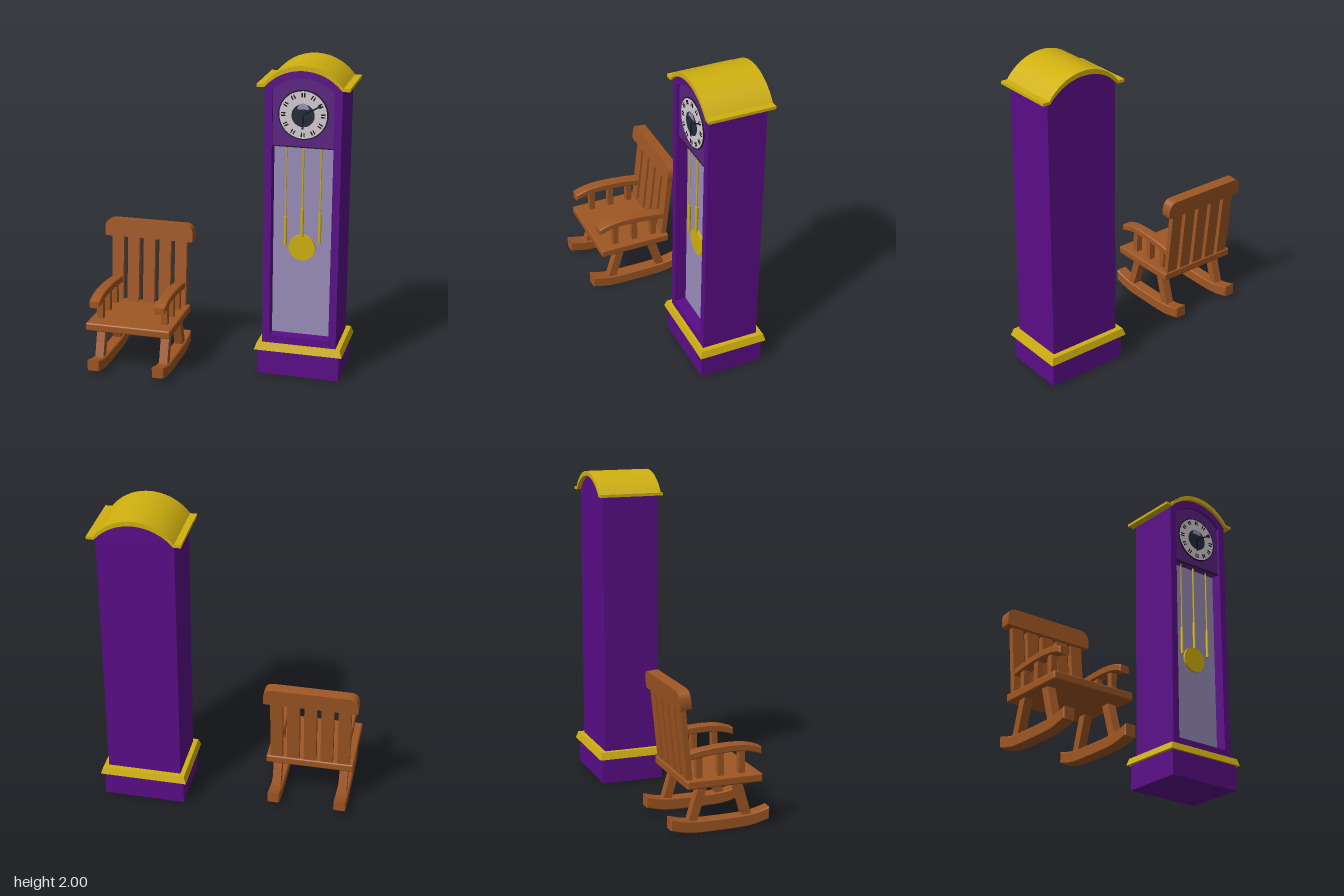
import * as THREE from 'three';
import { toCreasedNormals } from 'three/addons/utils/BufferGeometryUtils.js';
import { RoundedBoxGeometry } from 'three/addons/geometries/RoundedBoxGeometry.js';

const material = (name, color) => {
  const m = new THREE.MeshStandardMaterial({ color });
  m.name = name;
  return m;
};

// Outline with a flat bottom and a shallow arched top
function archShape(half, bottom, shoulder, peak) {
  const h = peak - shoulder, r = (half * half + h * h) / (2 * h), a = Math.asin(half / r);
  const s = new THREE.Shape();
  s.moveTo(-half, bottom);
  s.lineTo(half, bottom);
  s.lineTo(half, shoulder);
  s.absarc(0, peak - r, r, Math.PI / 2 - a, Math.PI / 2 + a, false);
  s.closePath();
  return s;
}

// Extrude a front outline between two z positions
function slab(shape, z0, z1) {
  const g = new THREE.ExtrudeGeometry(shape, { depth: z1 - z0, bevelEnabled: false, curveSegments: 24 });
  g.translate(0, 0, z0);
  return toCreasedNormals(g, 0.5);
}

// Extrude a side outline (z, y) to a width centred on x = 0
function sideSlab(shape, width) {
  const b = 0.006;
  const g = new THREE.ExtrudeGeometry(shape, {
    depth: width - 2 * b, bevelSize: b, bevelThickness: b, bevelOffset: -b, bevelSegments: 1, curveSegments: 12,
  });
  g.translate(0, 0, -width / 2 + b);
  g.rotateY(-Math.PI / 2);
  return toCreasedNormals(g, 0.5);
}

// Curved bar: smooth upper and lower edges from centre-line points
function barShape(points, thickness) {
  const curve = new THREE.SplineCurve(points.map(p => new THREE.Vector2(...p)));
  const line = curve.getPoints(20), t = thickness / 2;
  const upper = line.map(p => new THREE.Vector2(p.x, p.y + t));
  const lower = line.map(p => new THREE.Vector2(p.x, p.y - t));
  return new THREE.Shape([...lower, ...upper.reverse()]);
}

export function createModel() {
  const purple = material('purple paint', 0x5a0d88);
  const panelPurple = material('dial panel purple', 0x5c2282);
  const gold = material('gold', 0xd0b00f);
  const wood = material('brown wood', 0x9f5623);
  const glass = material('pale lavender glass', 0x9a8eba);
  const white = material('dial white', 0xd6ccd2);
  const black = material('black', 0x18161c);
  const slate = material('dark slate', 0x202c38);

  const model = new THREE.Group();
  const clock = new THREE.Group();
  clock.name = 'longcaseClock';
  clock.position.x = 0.525;
  const chair = new THREE.Group();
  chair.name = 'rockingChair';
  chair.position.x = -0.515;
  model.add(clock, chair);

  const add = (parent, name, geometry, mat, x = 0, y = 0, z = 0) => {
    const m = new THREE.Mesh(geometry, mat);
    m.name = name;
    m.position.set(x, y, z);
    parent.add(m);
    return m;
  };
  const box = (w, h, d) => new THREE.BoxGeometry(w, h, d);
  const disc = (r, t, n = 40) => new THREE.CylinderGeometry(r, r, t, n).rotateX(Math.PI / 2);

  // Clock case: solid back and an open front frame
  add(clock, 'caseBack', slab(archShape(0.235, 0.2, 1.86, 1.97), -0.32, -0.04), purple);
  const frame = archShape(0.235, 0.2, 1.86, 1.97);
  frame.holes.push(new THREE.Path(archShape(0.188, 0.265, 1.84, 1.92).getPoints(24).reverse()));
  add(clock, 'caseFrontFrame', slab(frame, -0.04, 0.04), purple);
  add(clock, 'plinth', box(0.52, 0.17, 0.405), purple, 0, 0.093, -0.1425);
  add(clock, 'windowGlass', box(0.376, 1.235, 0.006), glass, 0, 0.8825, -0.037);
  add(clock, 'dialPanel', slab(archShape(0.188, 1.497, 1.84, 1.92), -0.04, 0.022), panelPurple);
  add(clock, 'panelEdge', box(0.376, 0.006, 0.004), black, 0, 1.498, 0.022);

  // Moulding above the plinth, narrowing upward
  const moulding = box(0.56, 0.045, 0.44);
  const mp = moulding.attributes.position;
  for (let i = 0; i < mp.count; i++) {
    if (mp.getY(i) > 0) {
      mp.setX(i, mp.getX(i) - Math.sign(mp.getX(i)) * 0.015);
      mp.setZ(i, mp.getZ(i) - Math.sign(mp.getZ(i)) * 0.012);
    }
  }
  moulding.computeVertexNormals();
  add(clock, 'plinthMoulding', moulding, gold, 0, 0.193, -0.146);

  // Arched roof with flat eaves
  const arc = (half, shoulder, peak) => {
    const h = peak - shoulder, r = (half * half + h * h) / (2 * h), a = Math.asin(half / r);
    return Array.from({ length: 25 }, (_, i) => {
      const t = -a + (2 * a * i) / 24;
      return new THREE.Vector2(r * Math.sin(t), peak - r + r * Math.cos(t));
    });
  };
  const roof = new THREE.Shape([
    new THREE.Vector2(-0.282, 1.86), ...arc(0.235, 1.86, 1.97), new THREE.Vector2(0.282, 1.86),
    new THREE.Vector2(0.282, 1.878), ...arc(0.24, 1.878, 2.0).reverse(), new THREE.Vector2(-0.282, 1.878),
  ]);
  add(clock, 'roof', slab(roof, -0.348, 0.06), gold);

  // Dial, with hour marks and hands
  const dial = new THREE.Group();
  dial.name = 'dial';
  dial.position.set(-0.002, 1.698, 0.022);
  clock.add(dial);
  add(dial, 'dialRim', disc(0.152, 0.006), black, 0, 0, 0.003);
  add(dial, 'dialFace', disc(0.145, 0.008), white, 0, 0, 0.004);
  add(dial, 'dialCentre', disc(0.07, 0.004), slate, 0, -0.003, 0.009);
  add(dial, 'dialMoon', new THREE.CircleGeometry(0.036, 20, 0, Math.PI), glass, 0, 0.035, 0.0118);
  for (let i = 0; i < 12; i++) {
    const a = (i * Math.PI) / 6;
    for (const s of [-0.008, 0.008]) {
      const mark = add(dial, 'hourMark', box(0.007, 0.026, 0.003), black,
        0.121 * Math.sin(a) + s * Math.cos(a), 0.121 * Math.cos(a) - s * Math.sin(a), 0.009);
      mark.rotation.z = -a;
    }
  }
  const hand = (name, length, width, angle) => {
    const m = add(dial, name, box(width, length, 0.003).translate(0, length / 2, 0), black, 0, 0, 0.013);
    m.rotation.z = -angle;
  };
  hand('minuteHand', 0.125, 0.008, 1.05);
  hand('hourHand', 0.085, 0.011, Math.PI);

  // Pendulum and two hanging weights
  const hanger = (name, x, low, high, rodRadius) => {
    add(clock, name + 'Rod', new THREE.CylinderGeometry(rodRadius, rodRadius, 1.5 - high, 8), gold, x, (1.5 + high) / 2, -0.012);
    add(clock, name, new THREE.CylinderGeometry(0.01, 0.01, high - low, 12), gold, x, (low + high) / 2, -0.012);
  };
  hanger('leftWeight', 0.107, 0.89, 1.08, 0.005);
  hanger('rightWeight', -0.107, 0.86, 1.045, 0.004);
  hanger('pendulumShaft', -0.003, 0.92, 1.105, 0.006);
  add(clock, 'pendulumBob', disc(0.083, 0.014), gold, -0.003, 0.847, -0.02);

  // Chair seat
  add(chair, 'seat', new RoundedBoxGeometry(0.555, 0.052, 0.475, 2, 0.01), wood, 0, 0.305, 0.0675);

  // Reclined back: slats and a top rail with rounded corners
  const lean = Math.atan2(0.045, 0.43);
  for (let i = -2; i <= 2; i++) {
    const slat = add(chair, 'backSlat', box(0.078, 0.47, 0.035), wood, i * 0.1065, 0.55, -0.168);
    slat.rotation.x = -lean;
  }
  const rail = new THREE.Shape();
  rail.moveTo(-0.28, -0.057);
  rail.lineTo(0.28, -0.057);
  rail.quadraticCurveTo(0.295, -0.057, 0.295, -0.042);
  rail.lineTo(0.295, 0);
  rail.quadraticCurveTo(0.29, 0.057, 0.235, 0.057);
  rail.lineTo(-0.235, 0.057);
  rail.quadraticCurveTo(-0.29, 0.057, -0.295, 0);
  rail.lineTo(-0.295, -0.042);
  rail.quadraticCurveTo(-0.295, -0.057, -0.28, -0.057);
  const topRail = add(chair, 'topRail', slab(rail, -0.034, 0.034), wood, 0, 0.818, -0.19);
  topRail.rotation.x = -lean;

  // Each side: rocker, two splayed legs, arm posts and armrest
  const rocker = sideSlab(barShape([[-0.26, 0.07], [-0.14, 0.042], [0.05, 0.037], [0.24, 0.042], [0.363, 0.071]], 0.073), 0.078);
  const arm = sideSlab(barShape([[-0.165, 0.465], [-0.06, 0.482], [0.06, 0.492], [0.16, 0.493], [0.24, 0.483], [0.308, 0.461]], 0.045), 0.07);
  for (const side of [-1, 1]) {
    const x = side * 0.213;
    add(chair, 'rocker', rocker, wood, x);
    add(chair, 'armrest', arm, wood, x);
    for (const z of [0.19, 0.056, -0.078]) add(chair, 'armPost', box(0.04, 0.16, 0.037), wood, x, 0.4, z);
    for (const dir of [-1, 1]) {
      const leg = add(chair, dir > 0 ? 'frontLeg' : 'rearLeg', box(0.055, 0.24, 0.052), wood, x, 0.18, 0.05 + dir * 0.14);
      leg.rotation.x = -dir * 0.29;
    }
  }
  return model;
}
